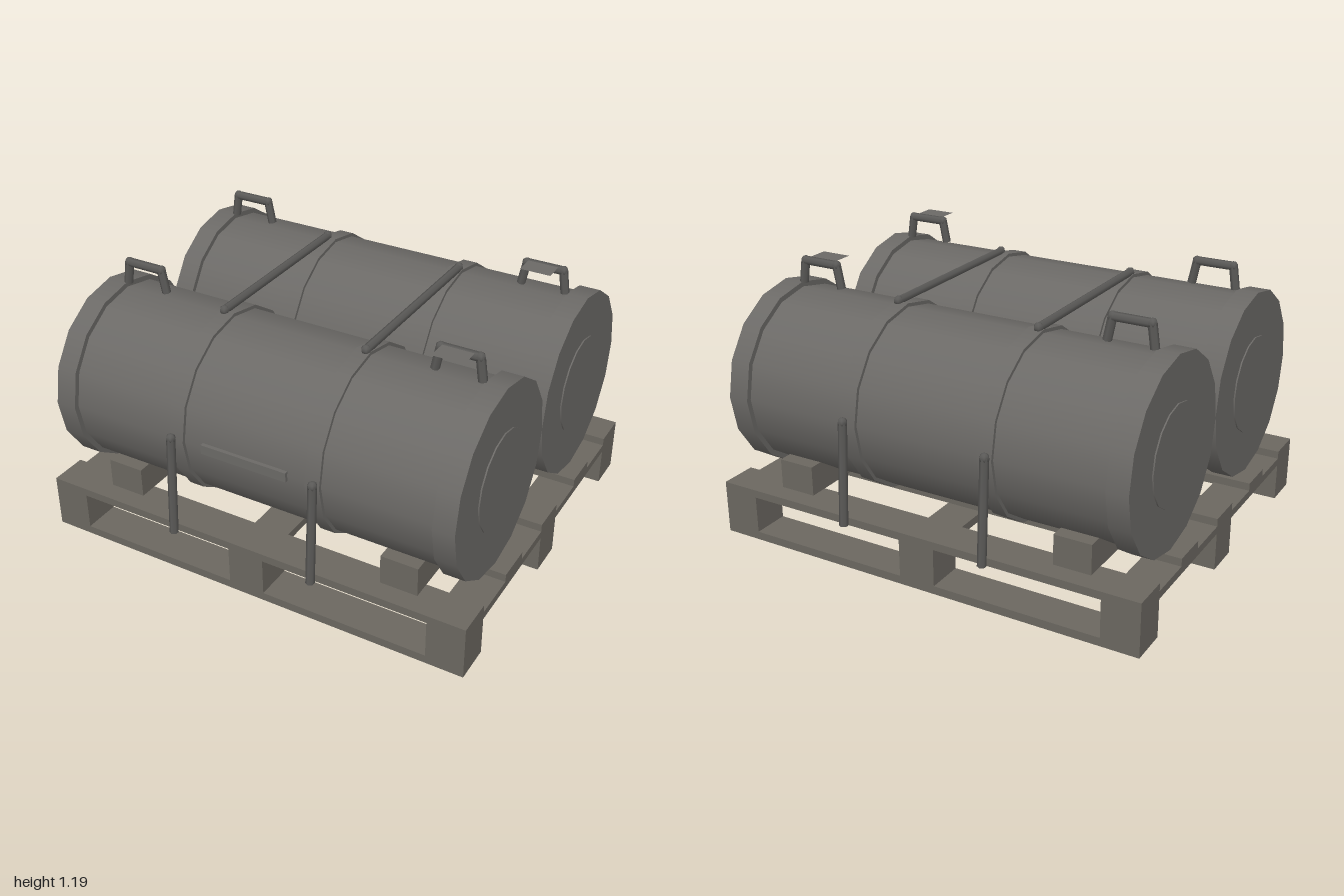
import * as THREE from 'three';

const wood = new THREE.MeshStandardMaterial({ color: 0x6b6760 });
const steel = new THREE.MeshStandardMaterial({ color: 0x6b6966 });
const dark = new THREE.MeshStandardMaterial({ color: 0x5a5957 });
const thin = new THREE.MeshStandardMaterial({ color: 0x6b6966, side: THREE.DoubleSide });

function add(parent, name, geometry, material, x = 0, y = 0, z = 0) {
  const mesh = new THREE.Mesh(geometry, material);
  mesh.name = name;
  mesh.position.set(x, y, z);
  parent.add(mesh);
  return mesh;
}

// Box given by its limits on each axis
function block(parent, name, material, x0, x1, y0, y1, z0, z1) {
  return add(parent, name, new THREE.BoxGeometry(x1 - x0, y1 - y0, z1 - z0), material,
    (x0 + x1) / 2, (y0 + y1) / 2, (z0 + z1) / 2);
}

// Sixteen-sided disc or barrel lying along x
function roller(parent, name, radius, x0, x1) {
  const geometry = new THREE.CylinderGeometry(radius, radius, x1 - x0, 16).rotateZ(Math.PI / 2);
  return add(parent, name, geometry, steel, (x0 + x1) / 2);
}

// Six-sided rods between points, with a small ball at every point but the free ends
function rods(parent, name, points, balls) {
  const group = new THREE.Group();
  group.name = name;
  const pts = points.map((p) => new THREE.Vector3(...p));
  for (let i = 0; i < pts.length - 1; i++) {
    const dir = pts[i + 1].clone().sub(pts[i]);
    const mid = pts[i].clone().add(pts[i + 1]).multiplyScalar(0.5);
    const geometry = new THREE.CylinderGeometry(0.019, 0.019, dir.length(), 6);
    const rod = add(group, name + 'Rod', geometry, dark, mid.x, mid.y, mid.z);
    rod.quaternion.setFromUnitVectors(new THREE.Vector3(0, 1, 0), dir.normalize());
  }
  for (const i of balls) {
    add(group, name + 'Joint', new THREE.SphereGeometry(0.021, 6, 6), dark, ...points[i]);
  }
  parent.add(group);
}

function makePallet() {
  const pallet = new THREE.Group();
  pallet.name = 'pallet';
  const columns = [-0.917, 0, 0.917];
  for (const z of [-0.75, 0, 0.75]) {
    block(pallet, 'bottomBoard', wood, -1, 1, 0, 0.037, z - 0.083, z + 0.083);
    for (const x of columns) {
      block(pallet, 'spacerBlock', wood, x - 0.083, x + 0.083, 0.037, 0.17, z - 0.083, z + 0.083);
    }
  }
  for (const x of columns) {
    block(pallet, 'crossBoard', wood, x - 0.083, x + 0.083, 0.17, 0.205, -0.833, 0.833);
  }
  for (const z of [-0.75, -0.375, 0, 0.375, 0.75]) {
    block(pallet, 'topBoard', wood, -1, 1, 0.205, 0.24, z - 0.083, z + 0.083);
  }
  return pallet;
}

function makeDrum() {
  const drum = new THREE.Group();
  drum.name = 'drum';
  roller(drum, 'body', 0.392, -0.85, 0.85);
  for (const s of [-1, 1]) {
    const c = s * 0.885;
    roller(drum, 'endBand', 0.415, c - 0.047, c + 0.047);
    roller(drum, 'hoop', 0.407, s * 0.32 - 0.033, s * 0.32 + 0.033);
    roller(drum, 'endPlate', 0.215, s * 0.93 - 0.008, s * 0.93 + 0.008);
    // Splayed carrying handle
    rods(drum, 'handle', [
      [s * 0.83, 0.415, 0], [s * 0.815, 0.515, 0], [s * 0.65, 0.515, 0], [s * 0.63, 0.415, 0],
    ], [1, 2]);
  }
  // Flat tag on one handle, thin plate on the front flank
  const tag = new THREE.PlaneGeometry(0.135, 0.1).rotateX(-Math.PI / 2);
  add(drum, 'tag', tag, thin, 0.727, 0.53, 0.052);
  block(drum, 'sidePlate', steel, -0.2, 0.2, -0.021, 0.021, 0.385, 0.405);
  return drum;
}

export function createModel() {
  const model = new THREE.Group();
  model.name = 'drumPallet';
  model.add(makePallet());

  for (const z of [-0.415, 0.415]) {
    const drum = makeDrum();
    drum.position.set(0, 0.655, z);
    model.add(drum);
    // Cradle blocks under each drum
    for (const x of [-0.667, 0.667]) {
      block(model, 'cradle', wood, x - 0.083, x + 0.083, 0.24, 0.373, z - 0.332, z + 0.332);
    }
  }

  // Tie-downs: a bar across the two drums and a leg down each flank
  for (const x of [-0.333, 0.333]) {
    rods(model, 'strapBar', [[x, 1.068, 0.42], [x, 1.068, -0.42]], [0, 1]);
    for (const s of [-1, 1]) {
      rods(model, 'strapLeg', [[x, 0.22, s * 0.867], [x, 0.675, s * 0.838]], [1]);
    }
  }
  return model;
}
